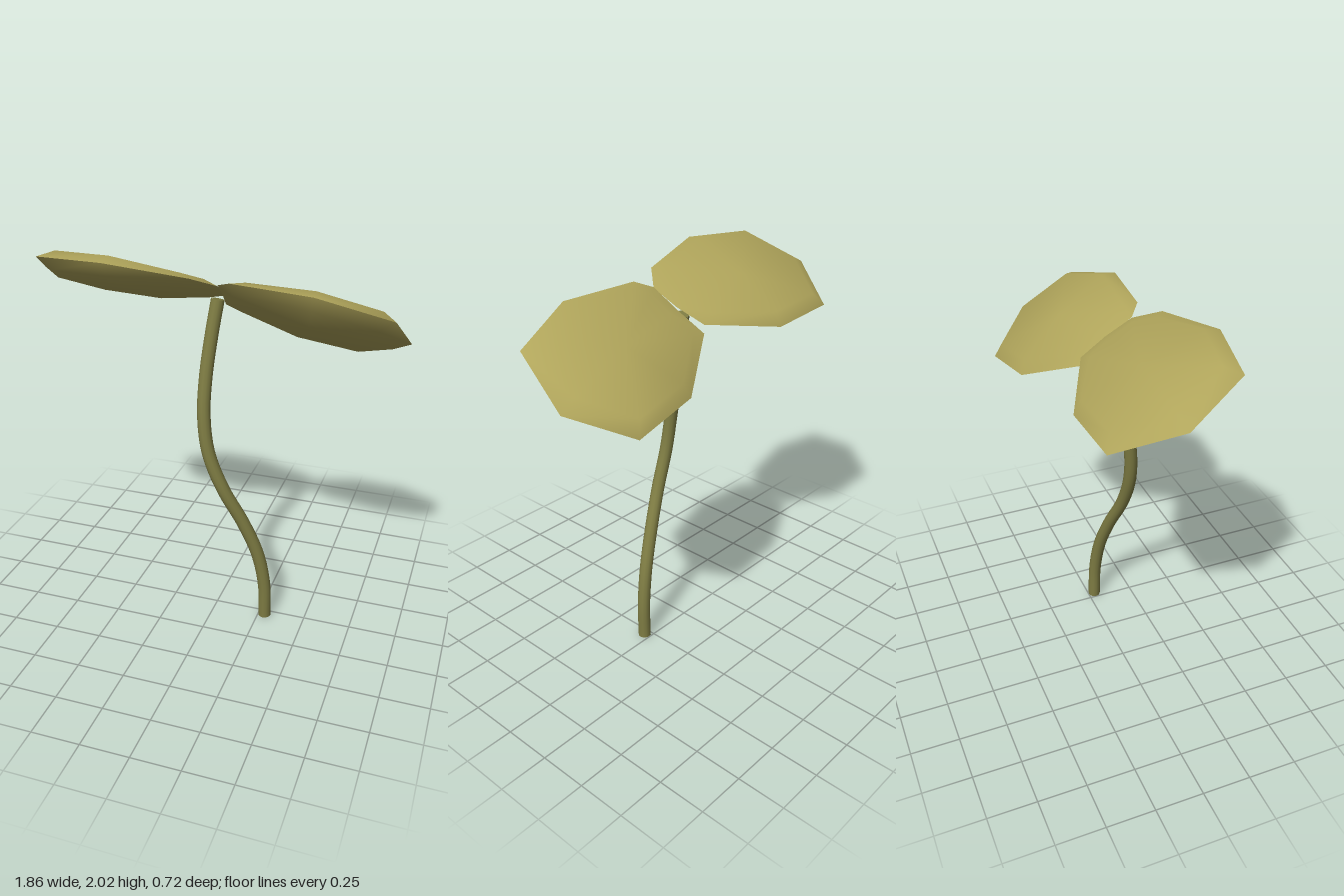
import * as THREE from 'three';
import { toCreasedNormals } from 'three/addons/utils/BufferGeometryUtils.js';

const leafMat = new THREE.MeshStandardMaterial({ color: 0xb0a55b });
leafMat.name = 'olive leaf';
const stemMat = new THREE.MeshStandardMaterial({ color: 0x7e7c43 });
stemMat.name = 'dark olive stem';

// Thick faceted leaf: a sharp rim lying on a tilted plane, with an inset ring above and below.
// outline: [x, z] clockwise from above; plane: y = a + b x + c z
function leaf(name, outline, [a, b, c], [cx, cz]) {
  const n = new THREE.Vector3(-b, 1, -c).normalize();
  const point = (x, z, lift) => new THREE.Vector3(x, a + b * x + c * z, z).addScaledVector(n, lift);
  const ring = (scale, lift) => outline.map(([x, z]) => {
    const thick = lift * (0.5 + 0.5 * Math.min(1, Math.abs(x) / 0.3)); // thinner at the stem
    return point(cx + (x - cx) * scale, cz + (z - cz) * scale, thick);
  });
  const rim = ring(1, 0), upper = ring(0.83, 0.047), lower = ring(0.83, -0.047);
  const top = point(cx, cz, 0.052), bottom = point(cx, cz, -0.052);
  const tris = [];
  outline.forEach((_, i) => {
    const j = (i + 1) % outline.length;
    tris.push(top, upper[j], upper[i]);
    tris.push(upper[i], upper[j], rim[j], upper[i], rim[j], rim[i]);
    tris.push(rim[i], rim[j], lower[j], rim[i], lower[j], lower[i]);
    tris.push(bottom, lower[i], lower[j]);
  });
  const geo = toCreasedNormals(new THREE.BufferGeometry().setFromPoints(tris), 0.72);
  const mesh = new THREE.Mesh(geo, leafMat);
  mesh.name = name;
  return mesh;
}

export function createModel() {
  const group = new THREE.Group();
  group.name = 'sprout';

  // Curving stem with flat end caps
  const path = new THREE.CatmullRomCurve3([
    [0.285, 0, 0.035], [0.28, 0.2, 0.04], [0.243, 0.4, 0.055], [0.167, 0.6, 0.085],
    [0.07, 0.8, 0.122], [-0.005, 1, 0.13], [-0.033, 1.2, 0.117], [-0.033, 1.4, 0.082],
    [-0.017, 1.6, 0.04], [0.003, 1.77, 0.005],
  ].map(p => new THREE.Vector3(...p)));
  const radius = 0.034;
  const stem = new THREE.Mesh(new THREE.TubeGeometry(path, 40, radius, 12), stemMat);
  stem.name = 'stem';
  group.add(stem);
  for (const t of [0, 1]) {
    const cap = new THREE.Mesh(new THREE.CircleGeometry(radius, 12), stemMat);
    const pos = path.getPointAt(t);
    cap.position.copy(pos);
    cap.lookAt(pos.clone().addScaledVector(path.getTangentAt(t), t ? 1 : -1));
    cap.name = t ? 'stemTop' : 'stemBase';
    group.add(cap);
  }

  // Two leaves meeting at the top of the stem
  group.add(leaf('rightLeaf', [
    [-0.93, -0.02], [-0.755, -0.3], [-0.375, -0.305], [0, -0.13], [0.04, 0.01],
    [0.05, 0.15], [-0.05, 0.26], [-0.44, 0.355], [-0.81, 0.275],
  ], [1.81, -0.043, 0.483], [-0.42, 0.02]));
  group.add(leaf('leftLeaf', [
    [0.05, 0.15], [0.03, 0.01], [0, -0.13], [0.32, -0.33], [0.69, -0.365],
    [0.925, -0.14], [0.88, 0.15], [0.53, 0.26], [0.125, 0.21],
  ], [1.79, -0.107, 0.67], [0.46, -0.04]));
  return group;
}
